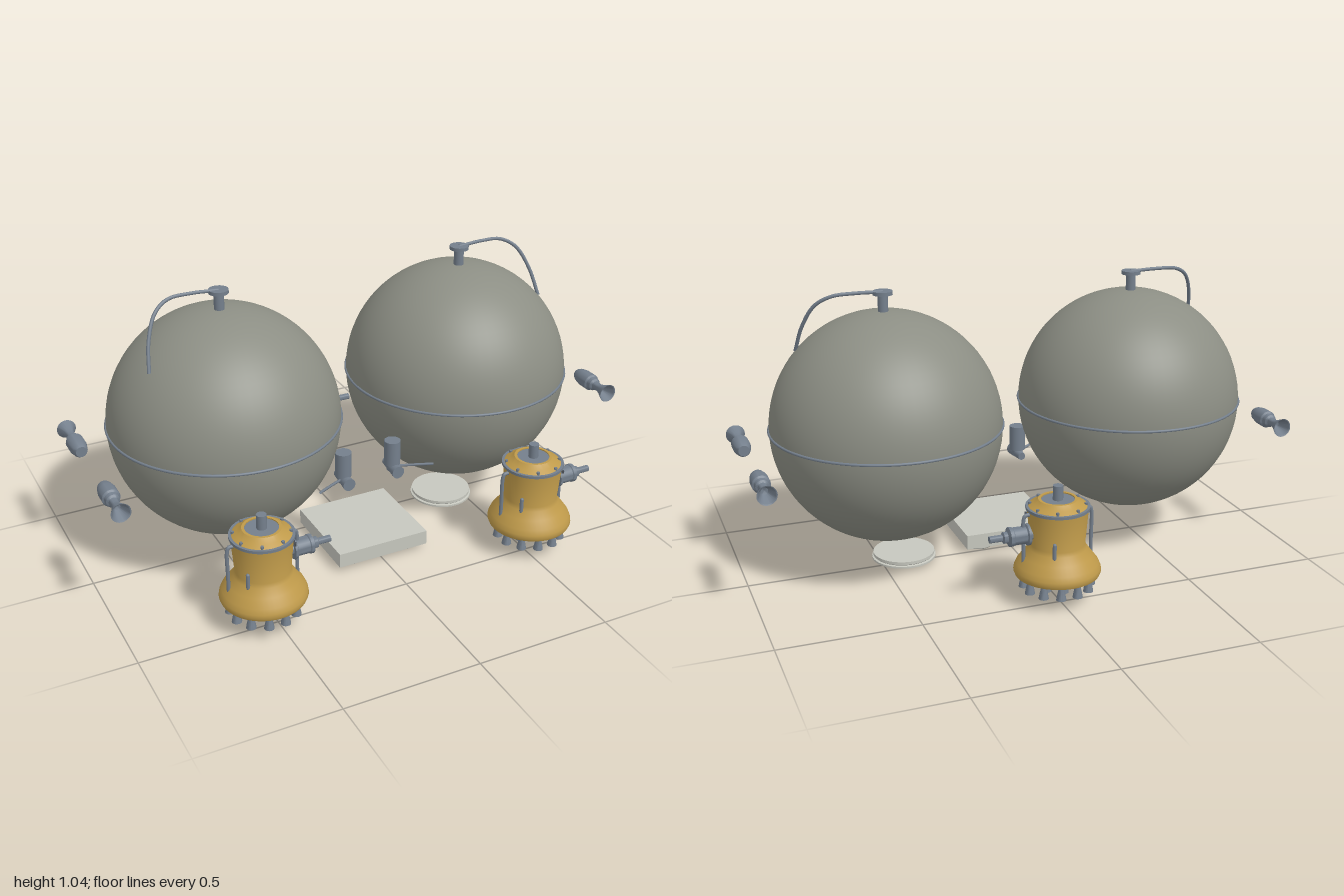
import * as THREE from 'three';
import { toCreasedNormals } from 'three/addons/utils/BufferGeometryUtils.js';

const paint = (name, color, side = THREE.FrontSide) => {
  const m = new THREE.MeshStandardMaterial({ color, side });
  m.name = name;
  return m;
};

export function createModel() {
  const tankGrey = paint('tank grey', 0x8c8e84);
  const gold = paint('engine gold', 0xbf9a4a);
  const steel = paint('blue steel', 0x747f8c, THREE.DoubleSide);
  const pale = paint('pale grey', 0xc6c7be);
  const dark = paint('dark grey', 0x4a4f57);
  const model = new THREE.Group();

  const group = (parent, name, x = 0, y = 0, z = 0) => {
    const g = new THREE.Group();
    g.name = name;
    g.position.set(x, y, z);
    parent.add(g);
    return g;
  };
  const add = (parent, name, geo, mat, x = 0, y = 0, z = 0) => {
    const m = new THREE.Mesh(geo, mat);
    m.name = name;
    m.position.set(x, y, z);
    parent.add(m);
    return m;
  };
  const lathe = (pts, seg = 32) => toCreasedNormals(
    new THREE.LatheGeometry(pts.map(([r, y]) => new THREE.Vector2(r, y)), seg), 0.6);
  const cyl = (rTop, rBottom, h, seg = 20, open = false) =>
    new THREE.CylinderGeometry(rTop, rBottom, h, seg, 1, open);
  const tube = (pts, r, seg = 30) => new THREE.TubeGeometry(
    new THREE.CatmullRomCurve3(pts.map(p => new THREE.Vector3(...p))), seg, r, 8);

  // Spherical tanks with an equator seam, filler neck and bent hose
  for (const s of [-1, 1]) {
    const tank = group(model, s < 0 ? 'rightTank' : 'leftTank', s * 0.4725, 0.549, -0.003);
    add(tank, 'tankShell', new THREE.SphereGeometry(0.415, 64, 40), tankGrey);
    add(tank, 'equatorSeam', new THREE.TorusGeometry(0.416, 0.005, 8, 80), steel).rotation.x = Math.PI / 2;
    add(tank, 'fillerNeck', cyl(0.018, 0.018, 0.08), steel, 0, 0.44, 0);
    add(tank, 'fillerCap', cyl(0.035, 0.035, 0.013, 24), steel, 0, 0.48, 0);
    add(tank, 'drainPlug', cyl(0.012, 0.012, 0.01), steel, 0, -0.415, 0);
    add(tank, 'hose', tube([
      [0, 0.483, 0], [s * 0.1, 0.487, -0.006], [s * 0.18, 0.482, -0.003], [s * 0.235, 0.45, 0.02],
      [s * 0.275, 0.37, 0.058], [s * 0.294, 0.275, 0.1]], 0.0065), steel);
  }

  // Shared engine geometry
  const bodyGeo = lathe([[0, 0.095], [0.138, 0.095], [0.148, 0.1], [0.153, 0.112], [0.151, 0.124],
    [0.143, 0.142], [0.122, 0.17], [0.102, 0.197], [0.096, 0.212], [0.107, 0.345], [0.1, 0.352],
    [0.084, 0.358], [0.068, 0.374], [0.058, 0.374], [0.058, 0.362], [0, 0.362]], 48);
  const nozzleGeo = lathe([[0.009, 0.1], [0.01, 0.086], [0.015, 0.064], [0.018, 0.048],
    [0.0155, 0.048], [0.008, 0.08], [0, 0.08]], 14);
  // Turbine profile, laid along +x
  const turbineGeo = lathe([[0, 0.08], [0.022, 0.08], [0.022, 0.107], [0.038, 0.107], [0.038, 0.116],
    [0.031, 0.12], [0.031, 0.165], [0.034, 0.168], [0.034, 0.18], [0.02, 0.186], [0.02, 0.2],
    [0.012, 0.204], [0.012, 0.25], [0, 0.25]], 24);

  const engine = (name, x, z) => {
    const e = group(model, name, x, 0, z);
    add(e, 'engineBody', bodyGeo, gold);
    add(e, 'topFlange', cyl(0.112, 0.112, 0.01, 48), steel, 0, 0.345, 0);
    add(e, 'topPlate', cyl(0.06, 0.06, 0.006, 32), steel, 0, 0.367, 0);
    add(e, 'feedPipe', cyl(0.018, 0.018, 0.06), steel, 0, 0.392, 0);
    for (let i = 0; i < 8; i++) {
      const a = (i + 0.5) * Math.PI / 4;
      add(e, 'bolt', cyl(0.006, 0.006, 0.01, 6), steel, 0.097 * Math.cos(a), 0.355, 0.097 * Math.sin(a));
    }
    // Nozzle cluster: outer ring, inner ring, centre
    for (const [count, radius] of [[12, 0.117], [6, 0.06], [1, 0]])
      for (let i = 0; i < count; i++) {
        const a = (i + 0.5) * 2 * Math.PI / count;
        add(e, 'nozzle', nozzleGeo, steel, radius * Math.cos(a), 0, radius * Math.sin(a));
      }
    add(e, 'turbine', turbineGeo, steel, 0, 0.257, 0).rotation.z = -Math.PI / 2;
    // Side pipes with short elbows into the body
    for (const s of [-1, 1]) {
      add(e, 'sidePipe', tube([[s * 0.098, 0.328, 0], [s * 0.12, 0.326, 0], [s * 0.126, 0.31, 0],
        [s * 0.126, 0.22, 0], [s * 0.126, 0.15, 0]], 0.007), steel);
    }
    // Slim pods on the waist
    for (const [px, pz] of [[-0.08, 0.062], [0.047, -0.09]])
      add(e, 'pod', new THREE.CapsuleGeometry(0.007, 0.05, 4, 10), steel, px, 0.217, pz);
    // Small inspection plates
    for (let i = 0; i < 3; i++)
      add(e, 'inspectionPlate', new THREE.BoxGeometry(0.008, 0.011, 0.009), dark, 0.096, 0.31, 0.03 + i * 0.013)
        .rotation.y = -0.42;
  };
  engine('frontRightEngine', -0.535, 0.465);
  engine('frontLeftEngine', 0.535, 0.465);
  engine('rearEngine', 0, -0.465);

  // Attitude thrusters, mouths pointing away from the middle
  const thrusterGeo = lathe([[0, 0.128], [0.02, 0.128], [0.026, 0.14], [0.032, 0.17], [0.032, 0.215],
    [0.026, 0.22], [0.024, 0.236], [0.017, 0.242], [0.015, 0.265], [0.02, 0.285], [0.035, 0.32],
    [0.031, 0.318], [0.012, 0.275], [0, 0.27]], 24);
  for (const sx of [-1, 1])
    for (const sz of [-1, 1])
      add(model, 'attitudeThruster', thrusterGeo, steel, sx * 0.963, 0.464, 0).rotation.x = sz * Math.PI / 2;

  // Pair of small valve units between the tanks
  for (const s of [-1, 1]) {
    const v = group(model, s < 0 ? 'rightValve' : 'leftValve', s * 0.1, 0, 0.195);
    add(v, 'valveCylinder', cyl(0.03, 0.03, 0.095, 24), steel, 0, 0.363, 0);
    add(v, 'valveNeck', cyl(0.02, 0.02, 0.03), steel, 0, 0.305, 0);
    add(v, 'valveBarrel', cyl(0.024, 0.014, 0.1), steel, 0, 0.3, 0).rotation.x = Math.PI / 2;
    add(v, 'valveRod', tube([[0, 0.302, 0], [s * 0.06, 0.31, 0.035], [s * 0.13, 0.32, 0.08]], 0.005, 8), steel);
  }

  // Flat equipment box on four round feet
  const box = group(model, 'equipmentBox', 0, 0, 0.156);
  add(box, 'boxBody', new THREE.BoxGeometry(0.358, 0.055, 0.343), pale, 0, 0.0455, 0);
  for (const sx of [-1, 1])
    for (const sz of [-1, 1])
      add(box, 'foot', lathe([[0, 0], [0.046, 0], [0.05, 0.005], [0.05, 0.02], [0, 0.02]]), pale,
        sx * 0.109, 0, sz * 0.1025);

  // Separate round hatch
  add(model, 'hatch', lathe([[0, 0.016], [0.118, 0.016], [0.118, 0.023], [0.11, 0.025],
    [0.113, 0.028], [0.113, 0.039], [0, 0.039]], 48), pale, 0.415, 0, 0.025);

  return model;
}
